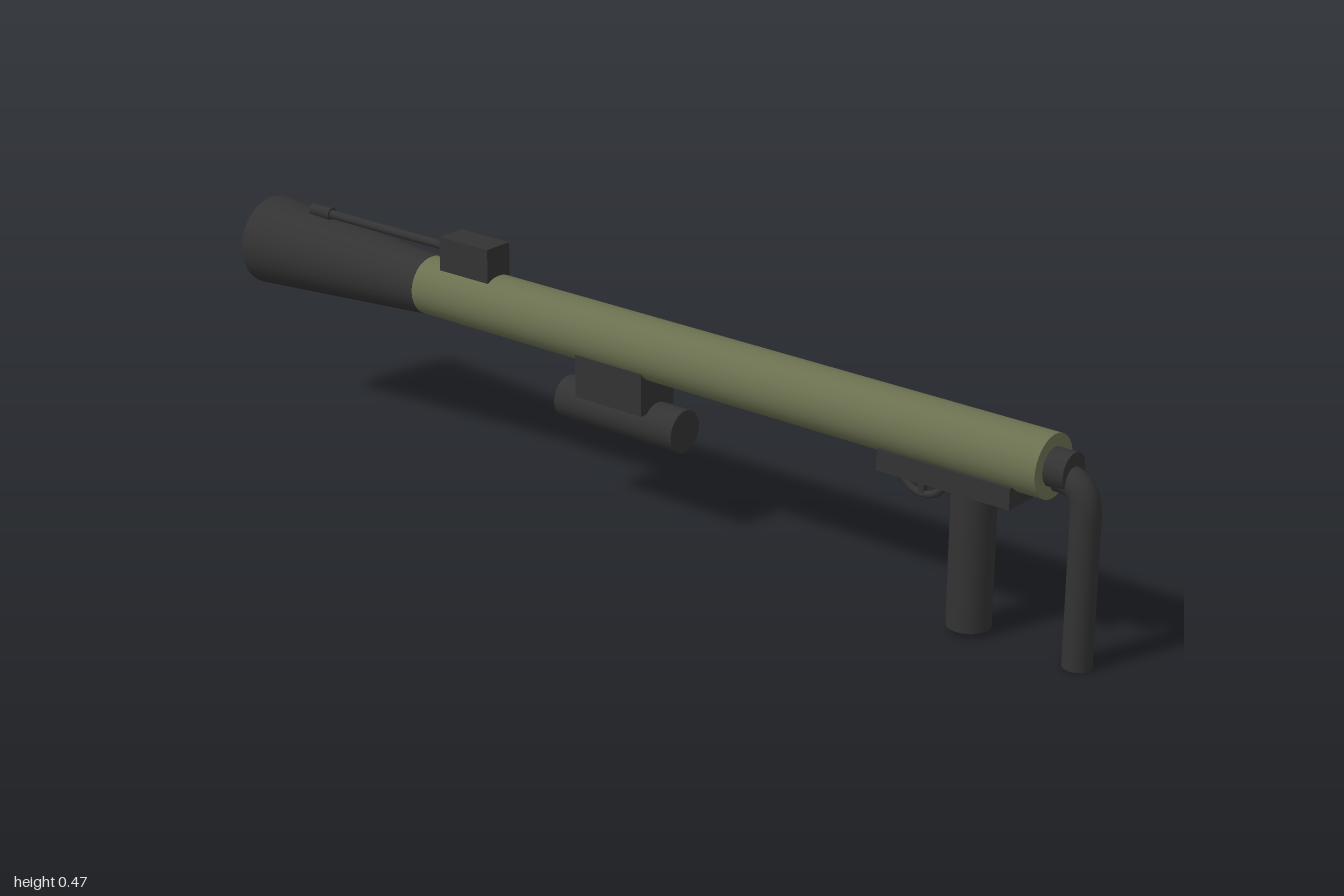
import * as THREE from 'three';

const olive = new THREE.MeshStandardMaterial({ color: 0x6b7050 });
olive.name = 'olive paint';
const dark = new THREE.MeshStandardMaterial({ color: 0x333333 });
dark.name = 'dark metal';

const AXIS_Y = 0.354;

export function createModel() {
  const model = new THREE.Group();
  model.name = 'launcher';

  const add = (name, geometry, material, x = 0, y = 0, z = 0) => {
    const mesh = new THREE.Mesh(geometry, material);
    mesh.name = name;
    mesh.position.set(x, y, z);
    model.add(mesh);
    return mesh;
  };

  // Cylinder lying along x, with a radius at each end
  const lying = (name, x0, x1, r0, r1, y, material, sides = 32) => {
    const geometry = new THREE.CylinderGeometry(r0, r1, x1 - x0, sides).rotateZ(Math.PI / 2);
    return add(name, geometry, material, (x0 + x1) / 2, y);
  };

  // Box given by its x and y limits and its depth, centred on z
  const block = (name, x0, x1, y0, y1, depth) =>
    add(name, new THREE.BoxGeometry(x1 - x0, y1 - y0, depth), dark, (x0 + x1) / 2, (y0 + y1) / 2);

  // Main tube, flared end and end collar
  lying('mainTube', -0.55, 0.905, 0.059, 0.059, AXIS_Y, olive);
  lying('flaredEnd', -1, -0.548, 0.092, 0.0595, AXIS_Y, dark);
  lying('endCollar', 0.9, 0.945, 0.036, 0.036, AXIS_Y, dark, 14);

  // Bent pipe leading down from the collar
  const bend = new THREE.CurvePath();
  const p = (x, y) => new THREE.Vector3(x, y, 0);
  bend.add(new THREE.LineCurve3(p(0.915, 0.339), p(0.93, 0.339)));
  bend.add(new THREE.QuadraticBezierCurve3(p(0.93, 0.339), p(0.973, 0.335), p(0.973, 0.28)));
  bend.add(new THREE.LineCurve3(p(0.973, 0.28), p(0.973, 0)));
  add('bentPipe', new THREE.TubeGeometry(bend, 60, 0.027, 20), dark);
  add('bentPipeCap', new THREE.CircleGeometry(0.027, 20).rotateX(Math.PI / 2), dark, 0.973, 0.0005);

  // Sight box with its rod and tip
  block('sightBox', -0.495, -0.368, 0.404, 0.473, 0.063);
  lying('sightRod', -0.86, -0.49, 0.009, 0.009, 0.443, dark, 12);
  lying('sightTip', -0.88, -0.825, 0.013, 0.013, 0.443, dark, 12);

  // Underslung cylinder and its mount
  block('lowerMount', -0.13, 0.033, 0.235, 0.32, 0.096);
  lying('lowerCylinder', -0.19, 0.1, 0.042, 0.042, 0.208, dark, 24);

  // Grip plate, grip, trigger guard and trigger
  block('gripPlate', 0.575, 0.853, 0.275, 0.315, 0.104);
  add('grip', new THREE.CylinderGeometry(0.041, 0.041, 0.28, 24), dark, 0.748, 0.15);
  add('triggerGuard', new THREE.TorusGeometry(0.052, 0.007, 10, 28), dark, 0.64, 0.283);
  block('trigger', 0.634, 0.646, 0.232, 0.28, 0.012);

  return model;
}
